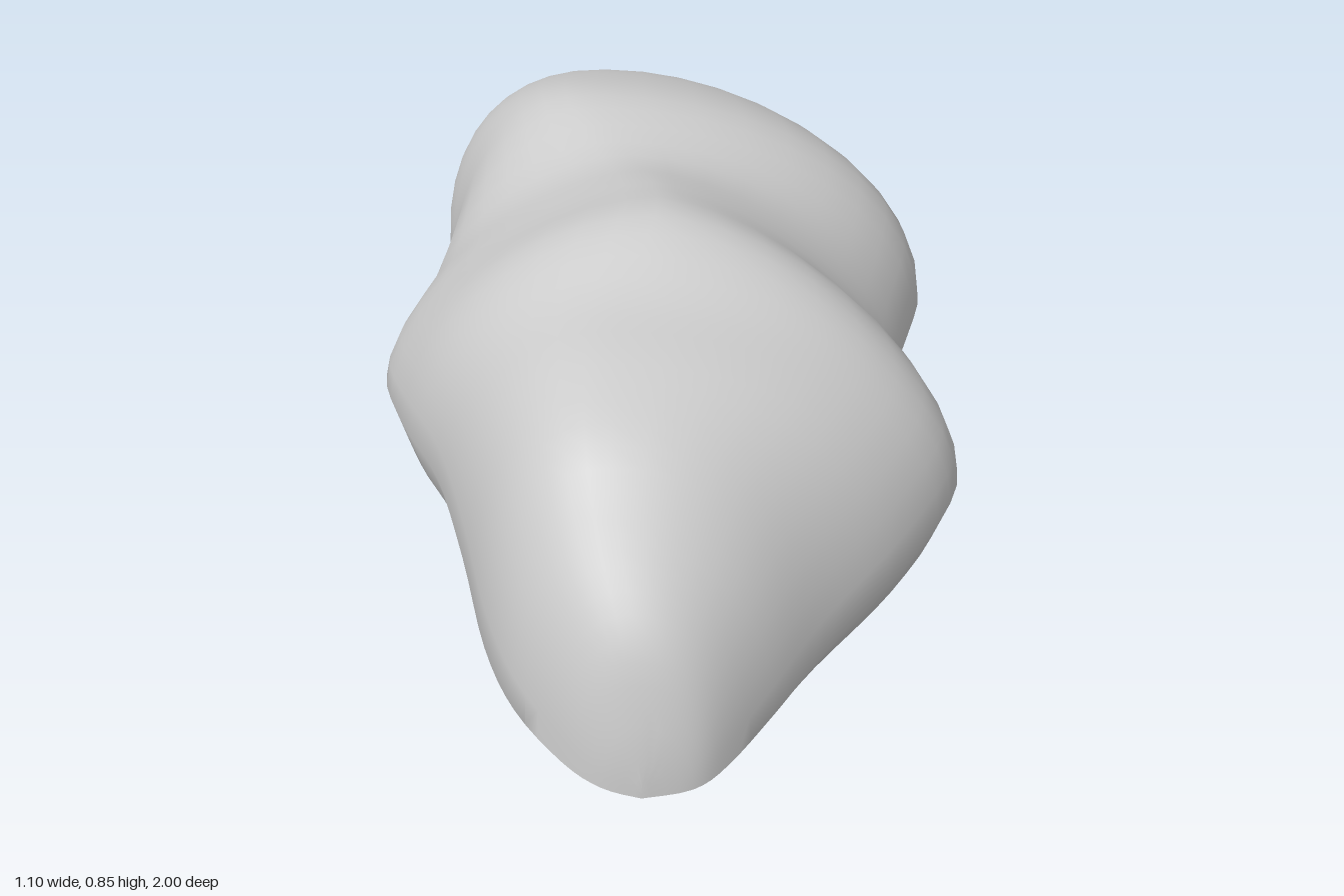
import * as THREE from 'three';
import { toCreasedNormals } from 'three/addons/utils/BufferGeometryUtils.js';

// Stations from back to front: z, left edge x, right edge x, rim y, crown y, crown x
const STATIONS = [
  [-1.0, -0.02, -0.02, 0.40, 0.40, -0.02],
  [-0.992, -0.08, 0.04, 0.40, 0.435, -0.02],
  [-0.97, -0.13, 0.08, 0.40, 0.48, -0.03],
  [-0.92, -0.23, 0.14, 0.41, 0.555, -0.06],
  [-0.83, -0.34, 0.20, 0.42, 0.65, -0.10],
  [-0.70, -0.44, 0.29, 0.42, 0.74, -0.14],
  [-0.55, -0.47, 0.42, 0.42, 0.80, -0.16],
  [-0.38, -0.45, 0.50, 0.40, 0.83, -0.16],
  [-0.18, -0.50, 0.465, 0.38, 0.795, -0.08],
  [0.0, -0.55, 0.44, 0.40, 0.825, -0.03],
  [0.19, -0.50, 0.515, 0.40, 0.85, -0.02],
  [0.37, -0.42, 0.545, 0.39, 0.775, -0.07],
  [0.55, -0.36, 0.45, 0.33, 0.74, -0.08],
  [0.72, -0.31, 0.30, 0.25, 0.675, -0.08],
  [0.84, -0.25, 0.21, 0.20, 0.55, -0.06],
  [0.94, -0.16, 0.13, 0.16, 0.42, -0.03],
  [0.985, -0.09, 0.07, 0.14, 0.27, -0.02],
  [1.0, -0.02, -0.02, 0.13, 0.15, -0.02],
];
const STEPS = 4; // sections per station
const ARC = 10; // points per upper quarter

// Smooth blend between neighbouring stations
function stationAt(t) {
  const last = STATIONS.length - 1;
  const i = Math.min(Math.floor(t), last - 1);
  const f = t - i;
  const [a, b, c, d] = [i - 1, i, i + 1, i + 2].map((k) => STATIONS[THREE.MathUtils.clamp(k, 0, last)]);
  return b.map((p, k) => {
    const m0 = (c[k] - a[k]) / 2, m1 = (d[k] - p) / 2, q = c[k];
    return p + f * (m0 + f * (3 * (q - p) - 2 * m0 - m1 + f * (2 * (p - q) + m0 + m1)));
  });
}

// Closed outline: footprint, tapering flanks, rounded crown
function section([z, xl, xr, rim, top, xt]) {
  // The crown is full at the ends and leaner around the middle
  const nl = 2.25 - 0.65 * Math.exp(-((z / 0.28) ** 2));
  const nr = 2.05 - 0.53 * Math.exp(-(((z - 0.05) / 0.26) ** 2));
  // The flanks shrink the rim towards the middle of the footprint, all round
  const flank = (x, s, h) => [x * s, rim * h, z * (s + (1 - s) * 0.1)];
  const crown = (x, n, a) => [
    xt + (x - xt) * Math.pow(Math.cos(a), 2 / n),
    rim + (top - rim) * Math.pow(Math.sin(a), 2 / n), z];
  const pts = [flank(xl, 0.55, 0), flank(xr, 0.55, 0)];
  pts.push(flank(xr, 0.75, 0.38), flank(xr, 0.94, 0.76));
  for (let k = 0; k < ARC; k++) pts.push(crown(xr, nr, (k / ARC) * Math.PI / 2));
  pts.push([xt, top, z]);
  for (let k = ARC - 1; k >= 0; k--) pts.push(crown(xl, nl, (k / ARC) * Math.PI / 2));
  pts.push(flank(xl, 0.94, 0.76), flank(xl, 0.75, 0.38));
  return pts;
}

// Skin the sections from back to front
function boulderGeometry() {
  const rows = (STATIONS.length - 1) * STEPS;
  const rings = [];
  for (let i = 0; i <= rows; i++) rings.push(section(stationAt(i / STEPS)));
  const n = rings[0].length;
  const index = [];
  for (let i = 0; i < rows; i++) {
    for (let j = 0; j < n; j++) {
      const a = i * n + j, b = i * n + (j + 1) % n;
      index.push(a, b, a + n, b, b + n, a + n);
    }
  }
  const geometry = new THREE.BufferGeometry();
  geometry.setAttribute('position', new THREE.Float32BufferAttribute(rings.flat(2), 3));
  geometry.setIndex(index);
  return toCreasedNormals(geometry, 0.7);
}

export function createModel() {
  const group = new THREE.Group();
  group.name = 'rock';
  const boulder = new THREE.Mesh(boulderGeometry(), new THREE.MeshStandardMaterial({ color: 0xcccccc }));
  boulder.name = 'boulder';
  group.add(boulder);
  return group;
}
